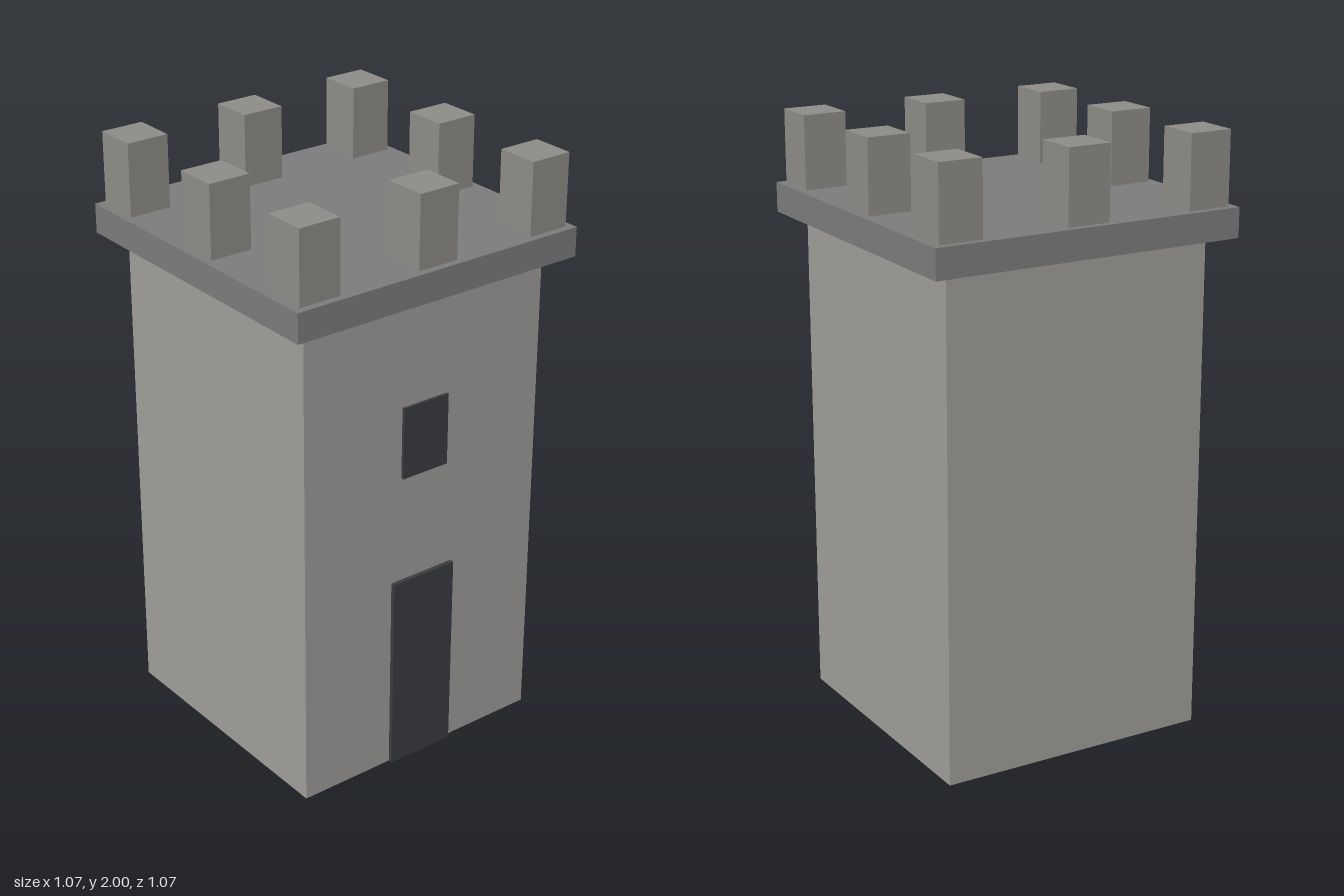
import * as THREE from 'three';

const stone = new THREE.MeshStandardMaterial({ color: 0xa09e9a });
const darkStone = new THREE.MeshStandardMaterial({ color: 0x7c7c7c });
const merlonStone = new THREE.MeshStandardMaterial({ color: 0x8e8c88 });
const dark = new THREE.MeshStandardMaterial({ color: 0x3a3c40 });

// Box standing on height y, centred on x and z
function block(name, material, [w, h, d], [x, y, z]) {
  const mesh = new THREE.Mesh(new THREE.BoxGeometry(w, h, d), material);
  mesh.name = name;
  mesh.position.set(x, y + h / 2, z);
  return mesh;
}

export function createModel() {
  const tower = new THREE.Group();
  tower.name = 'tower';

  // Square shaft and overhanging roof platform
  const wall = 0.927;
  tower.add(block('shaft', stone, [wall, 1.66, wall], [0, 0, 0]));
  tower.add(block('platform', darkStone, [1.073, 0.098, 1.073], [0, 1.66, 0]));

  // Door and window, slightly proud of the front wall
  tower.add(block('door', dark, [0.244, 0.683, 0.03], [0, 0, wall / 2]));
  tower.add(block('window', dark, [0.176, 0.244, 0.02], [0, 1.051, wall / 2]));

  // Eight merlons around the platform edge
  const battlements = new THREE.Group();
  battlements.name = 'battlements';
  for (const i of [-1, 0, 1]) {
    for (const j of [-1, 0, 1]) {
      if (i === 0 && j === 0) continue;
      battlements.add(block('merlon', merlonStone, [0.146, 0.242, 0.146], [i * 0.439, 1.758, j * 0.439]));
    }
  }
  tower.add(battlements);
  return tower;
}
